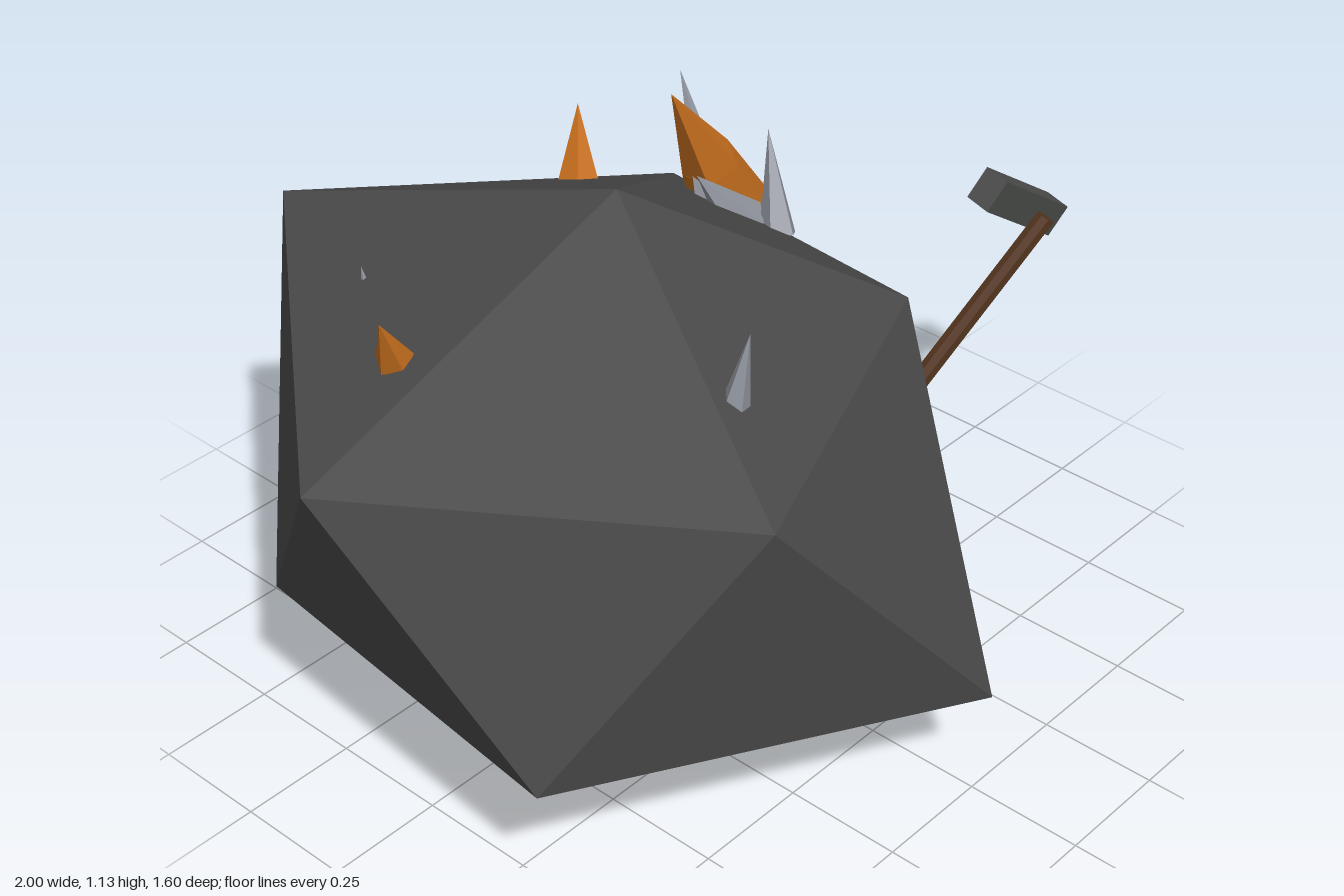
import * as THREE from 'three';

const mat = (name, color, flatShading = true) => {
  const m = new THREE.MeshStandardMaterial({ color, flatShading });
  m.name = name;
  return m;
};
const V = (p) => new THREE.Vector3(...p);

// Tapered prism running from point a to point b
function spike(name, a, b, rBase, rTip, sides, material, twist = 0) {
  const from = V(a), to = V(b), dir = to.clone().sub(from);
  const geo = new THREE.CylinderGeometry(rTip, rBase, dir.length(), sides);
  geo.rotateY(twist);
  const mesh = new THREE.Mesh(geo, material);
  mesh.name = name;
  mesh.position.copy(from).lerp(to, 0.5);
  mesh.quaternion.setFromUnitVectors(new THREE.Vector3(0, 1, 0), dir.normalize());
  return mesh;
}

// Irregular twenty-faced boulder: two poles and two staggered rings of five
function boulder(material) {
  const top = [-0.18, 1.135, -0.02], bottom = [-0.18, 0, -0.02];
  const upper = [[-1, 0.88, 0], [-0.52, 0.867, 0.665], [0.29, 0.82, 0.315], [0.36, 0.81, -0.37], [-0.34, 0.9, -0.8]];
  const lower = [[-0.85, 0.33, 0.4], [-0.02, 0.268, 0.795], [0.6, 0.315, -0.04], [0.17, 0.31, -0.74], [-0.74, 0.31, -0.435]];
  const pos = [];
  for (let i = 0; i < 5; i++) {
    const j = (i + 1) % 5;
    pos.push(...top, ...upper[i], ...upper[j]);
    pos.push(...upper[i], ...lower[i], ...upper[j]);
    pos.push(...lower[i], ...lower[j], ...upper[j]);
    pos.push(...bottom, ...lower[j], ...lower[i]);
  }
  const geo = new THREE.BufferGeometry();
  geo.setAttribute('position', new THREE.Float32BufferAttribute(pos, 3));
  geo.computeVertexNormals();
  const mesh = new THREE.Mesh(geo, material);
  mesh.name = 'boulder';
  return mesh;
}

export function createModel() {
  const model = new THREE.Group();
  model.name = 'oreRock';
  const stone = mat('stone', 0x4a4a4a);
  const copper = mat('copperOre', 0xc56e1e);
  const silver = mat('silverOre', 0x8e929b);
  const wood = mat('wood', 0x54351f);
  const iron = mat('iron', 0x4c4e4c);

  model.add(boulder(stone));

  // Large copper crystal: stout shaft with a pointed tip
  const large = new THREE.Group();
  large.name = 'largeCopperCrystal';
  large.add(
    spike('crystalShaft', [0.375, 0.765, -0.2], [0.285, 0.93, -0.2], 0.09, 0.062, 5, copper, 0.3),
    spike('crystalTip', [0.285, 0.93, -0.2], [0.165, 1.135, -0.197], 0.062, 0, 5, copper, 0.3),
  );
  model.add(large);

  // Smaller crystals: name, base, tip, base radius, material
  const crystals = [
    ['silverCrystalFront', [0.315, 0.81, -0.04], [0.36, 1.01, -0.11], 0.04, silver],
    ['silverCrystalTall', [0.255, 0.82, -0.15], [0.297, 1.105, -0.293], 0.048, silver],
    ['silverCrystalShort', [0.29, 0.82, -0.11], [0.2, 0.95, -0.16], 0.055, silver],
    ['silverCrystalLone', [-0.347, 0.925, 0.42], [-0.322, 1.08, 0.434], 0.03, silver],
    ['silverCrystalBuried', [-0.5, 0.83, -0.355], [-0.512, 0.975, -0.372], 0.03, silver],
    ['copperCrystalSide', [-0.68, 0.965, -0.1], [-0.732, 1.075, -0.075], 0.037, copper],
    ['copperCrystalBack', [0.125, 0.865, -0.42], [0.188, 1.005, -0.478], 0.045, copper],
  ];
  crystals.forEach(([name, a, b, r, m], i) => model.add(spike(name, a, b, r, 0, 5, m, i * 0.7)));

  // Hammer leaning on the boulder
  const hammer = new THREE.Group();
  hammer.name = 'hammer';
  hammer.add(spike('hammerHandle', [0.505, 0.255, 0.08], [0.835, 0.742, 0.257], 0.022, 0.022, 8, wood));
  const head = new THREE.Mesh(new THREE.BoxGeometry(0.285, 0.075, 0.06), iron);
  head.name = 'hammerHead';
  head.position.set(0.857, 0.735, 0.17);
  head.rotation.set(0.22, 0, -0.6, 'ZXY');
  hammer.add(head);
  model.add(hammer);

  return model;
}
